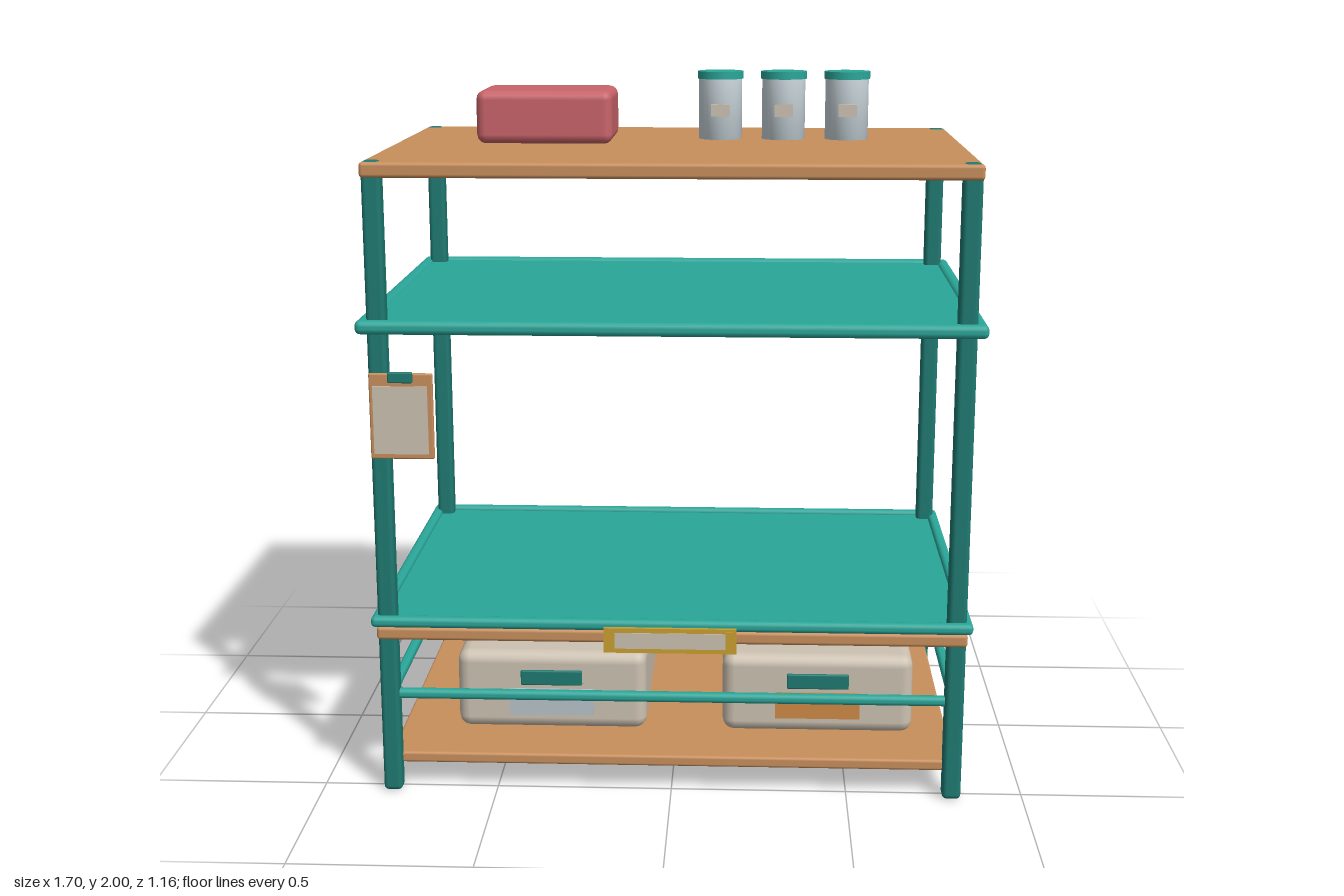
import * as THREE from 'three';
import { RoundedBoxGeometry } from 'three/addons/geometries/RoundedBoxGeometry.js';

const mat = (name, color) => {
  const m = new THREE.MeshStandardMaterial({ color });
  m.name = name;
  return m;
};

export function createModel() {
  const wood = mat('wood', 0xc98f5c);
  const teal = mat('teal', 0x2aa699);
  const darkTeal = mat('dark teal', 0x1f7a72);
  const red = mat('red', 0xc9646a);
  const beige = mat('beige', 0xcdc2b2);
  const brass = mat('brass', 0xc9a032);
  const glass = mat('pale glass', 0xcfdce2);
  const paleBlue = mat('pale blue', 0xb7c3c9);
  const orange = mat('orange', 0xd08a48);

  const root = new THREE.Group();
  root.name = 'storageCart';

  const group = (name, parent = root) => {
    const g = new THREE.Group();
    g.name = name;
    parent.add(g);
    return g;
  };
  const add = (parent, name, geo, material, x, y, z) => {
    const mesh = new THREE.Mesh(geo, material);
    mesh.name = name;
    mesh.position.set(x, y, z);
    parent.add(mesh);
    return mesh;
  };
  const box = (parent, name, material, w, h, d, x, y, z) =>
    add(parent, name, new THREE.BoxGeometry(w, h, d), material, x, y, z);
  const soft = (parent, name, material, w, h, d, r, x, y, z) =>
    add(parent, name, new RoundedBoxGeometry(w, h, d, 2, r), material, x, y, z);

  const Z0 = -0.003; // middle of the frame in z

  // Four corner posts, tips just showing through the top board
  const posts = group('posts');
  for (const x of [-0.798, 0.798])
    for (const z of [-0.52, 0.52])
      soft(posts, 'post', darkTeal, 0.053, 1.802, 0.053, 0.013, x, 0.901, Z0 + z);

  // Four rails around a rectangle; w and d are outer sizes
  const railRing = (name, y, w, d, t) => {
    const g = group(name);
    for (const s of [-1, 1]) {
      soft(g, 'longRail', teal, w, t, t, t * 0.42, 0, y, Z0 + s * (d - t) / 2);
      soft(g, 'sideRail', teal, t, t, d, t * 0.42, s * (w - t) / 2, y, Z0);
    }
  };

  // Wooden boards
  soft(root, 'topBoard', wood, 1.655, 0.042, 1.106, 0.01, 0, 1.779, Z0);
  soft(root, 'middleBoard', wood, 1.655, 0.038, 1.106, 0.01, 0, 0.479, Z0);
  soft(root, 'bottomBoard', wood, 1.61, 0.032, 1.03, 0.008, 0, 0.09, Z0);

  // Teal trays with their rims, and the low guard rail
  box(root, 'upperTray', teal, 1.66, 0.024, 1.11, 0, 1.356, Z0);
  railRing('upperTrayRim', 1.357, 1.704, 1.154, 0.039);
  box(root, 'lowerTray', teal, 1.65, 0.02, 1.1, 0, 0.508, Z0);
  railRing('lowerTrayRim', 0.516, 1.682, 1.134, 0.032);
  railRing('guardRail', 0.29, 1.625, 1.07, 0.029);

  // Storage bins with handle and label
  const bin = (name, x, labelMat) => {
    const g = group(name);
    soft(g, 'binBody', beige, 0.555, 0.238, 0.662, 0.035, x, 0.235, 0.024);
    soft(g, 'binHandle', darkTeal, 0.18, 0.045, 0.012, 0.004, x, 0.278, 0.357);
    box(g, 'binLabel', labelMat, 0.246, 0.08, 0.008, x, 0.203, 0.356);
  };
  bin('leftBin', 0.421, orange);
  bin('rightBin', -0.357, paleBlue);

  // Framed tag on the front of the middle board
  const tag = group('frontTag');
  box(tag, 'tagFrame', brass, 0.37, 0.072, 0.014, 0, 0.478, 0.568);
  box(tag, 'tagCard', beige, 0.31, 0.046, 0.006, 0, 0.478, 0.574);
  for (const x of [-0.165, 0.165])
    box(tag, 'tagEnd', brass, 0.02, 0.06, 0.006, x, 0.478, 0.575);

  // Clipboard hung on the front post
  const clip = group('clipboard');
  soft(clip, 'clipboardBack', wood, 0.175, 0.24, 0.014, 0.005, -0.733, 1.11, 0.552);
  box(clip, 'clipboardPaper', beige, 0.15, 0.19, 0.005, -0.735, 1.1, 0.56);
  soft(clip, 'clipboardClip', darkTeal, 0.068, 0.03, 0.014, 0.004, -0.733, 1.22, 0.562);

  // Red soft-edged case on the top
  soft(root, 'redCase', red, 0.397, 0.154, 0.285, 0.027, -0.389, 1.876, -0.113);

  // Jars with lids and small front labels
  const jarProfile = [[0, 0], [0.064, 0], [0.064, 0.178]].map(p => new THREE.Vector2(...p));
  const jarGeo = new THREE.LatheGeometry(jarProfile, 24);
  const lidGeo = new THREE.CylinderGeometry(0.068, 0.068, 0.022, 24);
  for (const x of [0.12, 0.308, 0.496]) {
    const g = group('jar');
    add(g, 'jarBody', jarGeo, glass, x, 1.801, -0.17);
    add(g, 'jarLid', lidGeo, teal, x, 1.989, -0.17);
    box(g, 'jarLabel', beige, 0.054, 0.036, 0.009, x, 1.888, -0.104);
  }

  return root;
}
